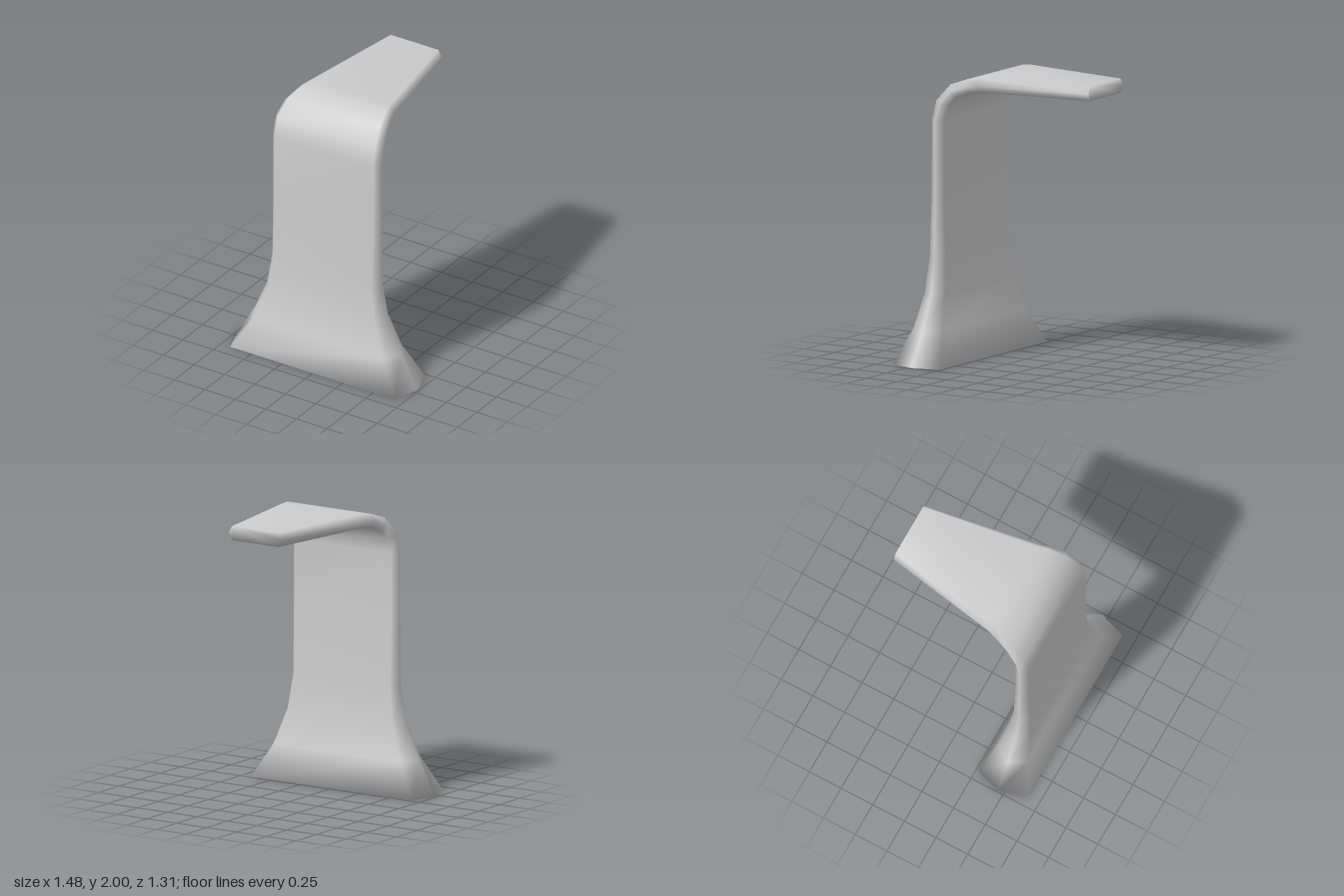
import * as THREE from 'three';

// Sections from the floor up and over the bend:
// [front z, front y, back z, back y, half width at the edge, half width of the flat face]
const SECTIONS = [
  [0.655, 0, 0.265, 0, 0.74, 0.675],
  [0.58, 0.24, 0.34, 0.24, 0.6, 0.53],
  [0.545, 0.48, 0.375, 0.48, 0.495, 0.44],
  [0.528, 0.73, 0.395, 0.73, 0.45, 0.405],
  [0.512, 1.2, 0.408, 1.2, 0.447, 0.405],
  [0.51, 1.69, 0.41, 1.69, 0.447, 0.405],
  [0.475, 1.83, 0.375, 1.795, 0.442, 0.4],
  [0.375, 1.945, 0.325, 1.86, 0.42, 0.375],
  [0.25, 1.99, 0.24, 1.893, 0.387, 0.347],
  [0.17, 2, 0.17, 1.9, 0.365, 0.325],
  [-0.655, 2, -0.655, 1.9, 0.225, 0.195],
];

// Six-sided ring: a flat front and back joined by pointed edges
function ring([fz, fy, bz, by, w, c]) {
  const mz = (fz + bz) / 2, my = (fy + by) / 2;
  return [
    [c, fy, fz], [w, my, mz], [c, by, bz],
    [-c, by, bz], [-w, my, mz], [-c, fy, fz],
  ];
}

// Skin the rings in order and close both ends
function loft(rings) {
  const n = rings[0].length, last = (rings.length - 1) * n;
  const index = [];
  for (let i = 0; i < rings.length - 1; i++) {
    for (let j = 0; j < n; j++) {
      const a = i * n + j, b = i * n + (j + 1) % n;
      index.push(a, b, b + n, a, b + n, a + n);
    }
  }
  for (let j = 1; j < n - 1; j++) {
    index.push(0, j + 1, j);
    index.push(last, last + j, last + j + 1);
  }
  const geometry = new THREE.BufferGeometry();
  geometry.setAttribute('position', new THREE.Float32BufferAttribute(rings.flat(2), 3));
  geometry.setIndex(index);
  geometry.computeVertexNormals();
  return geometry;
}

export function createModel() {
  const model = new THREE.Group();
  model.name = 'curvedStand';

  // Flared foot, upright and tapering arm in one continuous skin
  const material = new THREE.MeshStandardMaterial({ color: 0xcccccc, side: THREE.DoubleSide });
  const stand = new THREE.Mesh(loft(SECTIONS.map(ring)), material);
  stand.name = 'flaredPostAndArm';
  model.add(stand);

  return model;
}
